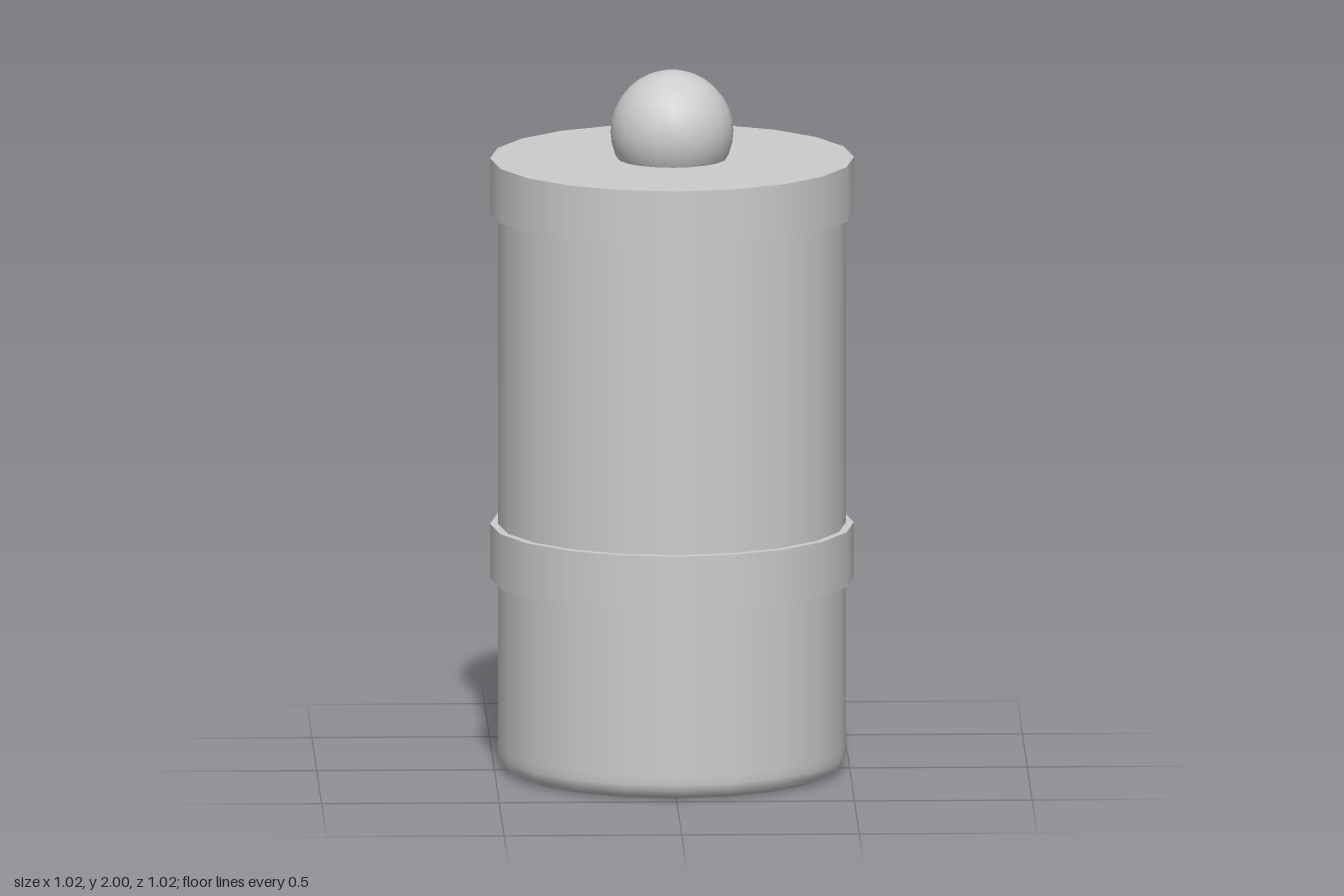
import * as THREE from 'three';

export function createModel() {
  const model = new THREE.Group();
  const grey = new THREE.MeshStandardMaterial({ color: 0xcccccc });
  grey.name = 'light grey';
  const sides = 20;

  function add(name, geometry, y) {
    const mesh = new THREE.Mesh(geometry, grey);
    mesh.name = name;
    mesh.position.y = y;
    model.add(mesh);
    return mesh;
  }

  // Canister wall with a softly rounded lower edge
  const profile = [
    [0.45, 0], [0.472, 0.01], [0.485, 0.025], [0.49, 0.045], [0.49, 0.07], [0.49, 1.62],
  ].map(([r, y]) => new THREE.Vector2(r, y));
  add('body', new THREE.LatheGeometry(profile, sides), 0);

  // Flat underside
  add('base', new THREE.CircleGeometry(0.45, sides).rotateX(Math.PI / 2), 0);

  // Raised band and lid share one shape
  const ring = new THREE.CylinderGeometry(0.512, 0.512, 0.157, sides);
  add('band', ring, 0.626);
  add('lid', ring, 1.672);

  // Round knob sunk into the lid
  add('knob', new THREE.SphereGeometry(0.173, sides, 16), 1.827);

  return model;
}
